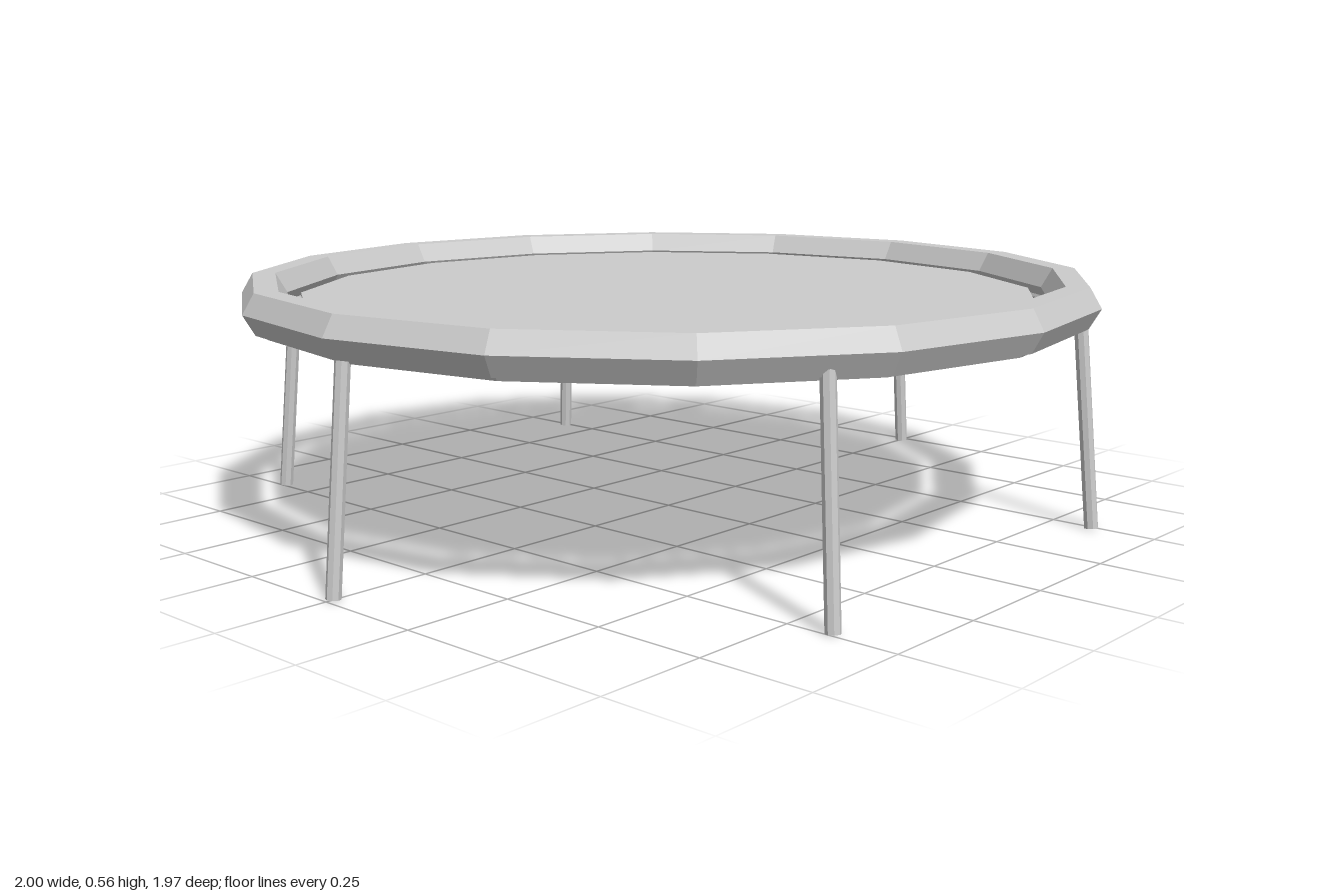
import * as THREE from 'three';

const SIDES = 16;

export function createModel() {
  const model = new THREE.Group();
  model.name = 'trampoline';
  const grey = new THREE.MeshStandardMaterial({ color: 0xcccccc, flatShading: true });
  grey.name = 'light grey';

  const add = (name, geometry, y = 0) => {
    const mesh = new THREE.Mesh(geometry, grey);
    mesh.name = name;
    mesh.position.y = y;
    model.add(mesh);
    return mesh;
  };

  // Horizontal hoop with a hexagonal cross-section
  const hoop = (radius, tube) =>
    new THREE.TorusGeometry(radius, tube, 6, SIDES).rotateX(-Math.PI / 2);

  // Padded rim and the thinner frame tube below it
  add('paddedRim', hoop(0.933, 0.052), 0.52);
  add('frameHoop', hoop(0.92, 0.03), 0.491);

  // Jumping mat, with an open gap to the rim
  add('mat', new THREE.CylinderGeometry(0.85, 0.85, 0.008, SIDES), 0.515);

  // Six legs splaying outwards to the ground
  const up = new THREE.Vector3(0, 1, 0);
  for (let i = 0; i < 6; i++) {
    const a = (i * Math.PI) / 3;
    const point = (r, y) => new THREE.Vector3(r * Math.cos(a), y, r * Math.sin(a));
    const top = point(0.937, 0.49);
    const foot = point(0.982, 0.002);
    const axis = top.clone().sub(foot);
    const leg = add(`leg${i + 1}`, new THREE.CylinderGeometry(0.016, 0.016, axis.length(), 8));
    leg.position.copy(top).add(foot).multiplyScalar(0.5);
    leg.quaternion.setFromUnitVectors(up, axis.normalize());
  }
  return model;
}
